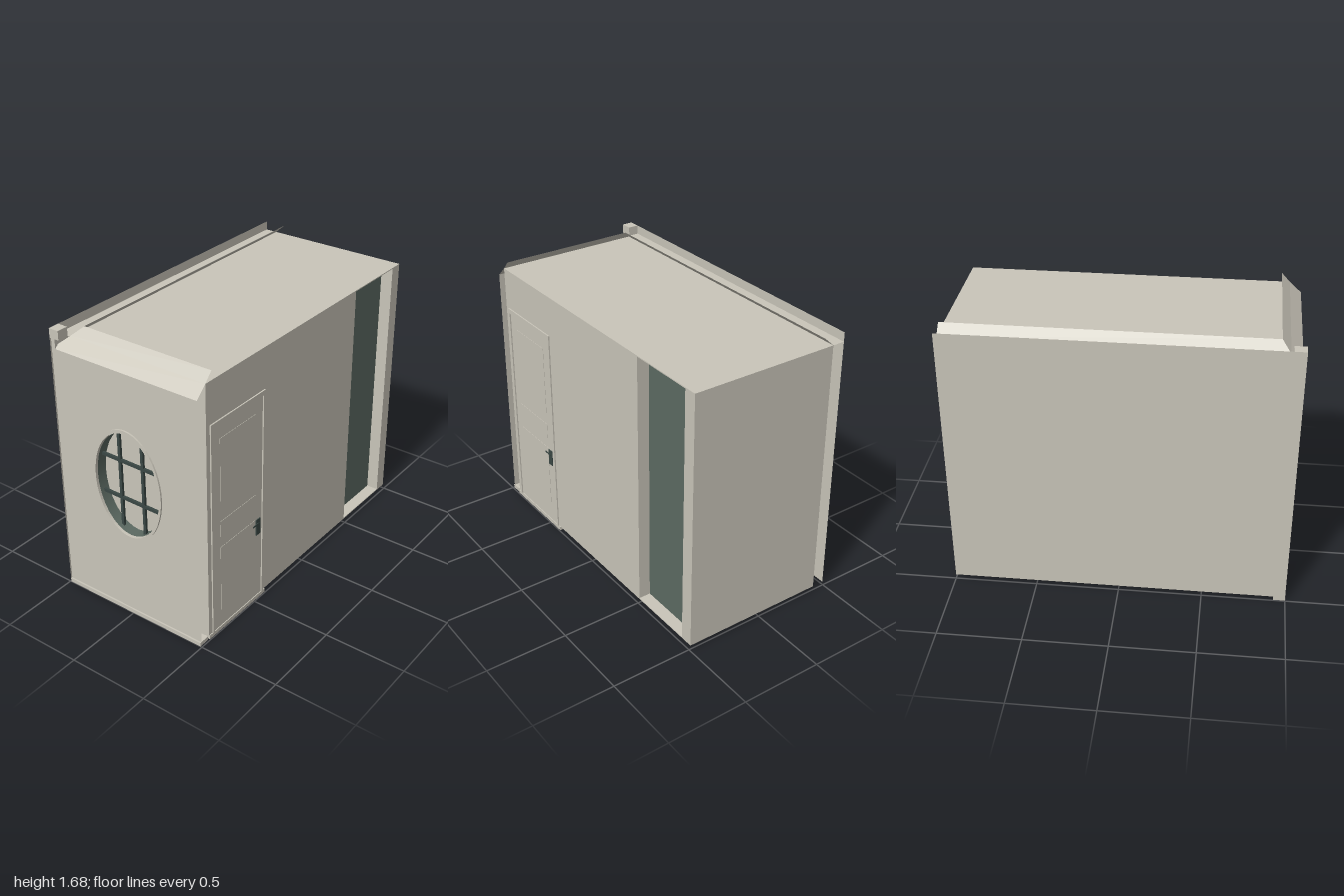
import * as THREE from 'three';

export function createModel() {
  const root = new THREE.Group();
  const mat = (name, color) => {
    const m = new THREE.MeshStandardMaterial({ color, side: THREE.DoubleSide });
    m.name = name;
    return m;
  };
  const plaster = mat('plaster', 0xc9c5b9);
  const green = mat('greyGreen', 0x5c6a62);
  const iron = mat('darkIron', 0x3a4744);

  const add = (name, geo, m = plaster, parent = root) => {
    const mesh = new THREE.Mesh(geo, m);
    mesh.name = name;
    parent.add(mesh);
    return mesh;
  };
  // Box given by its minimum and maximum corners
  const box = (name, x0, x1, y0, y1, z0, z1, m, parent) => add(name,
    new THREE.BoxGeometry(x1 - x0, y1 - y0, z1 - z0)
      .translate((x0 + x1) / 2, (y0 + y1) / 2, (z0 + z1) / 2), m, parent);
  // Flat four-cornered sheet
  const sheet = (name, corners) => {
    const g = new THREE.BufferGeometry();
    g.setAttribute('position', new THREE.Float32BufferAttribute(corners.flat(), 3));
    g.setIndex([0, 1, 2, 0, 2, 3]);
    g.computeVertexNormals();
    return add(name, g);
  };

  const FLOOR = 0.025, CEIL = 1.625, FRONT = 0.49, BACK = -0.495;

  // Room body; the front wall leaves a tall niche with a green back panel
  box('roomBody', -0.92, 1, FLOOR, CEIL, -0.42, 0.41);
  box('frontWall', -0.92, 0.5, FLOOR, CEIL, 0.41, FRONT);
  box('frontPost', 0.92, 1, FLOOR, CEIL, 0.41, FRONT);
  box('nicheFloor', 0.5, 0.92, FLOOR, FLOOR + 0.006, 0.41, FRONT);
  box('nicheCeiling', 0.5, 0.92, CEIL - 0.006, CEIL, 0.41, FRONT);
  box('nichePanel', 0.5, 0.92, FLOOR + 0.006, CEIL - 0.006, 0.41, 0.416, green);

  // Outer back wall and its raised corner end
  sheet('backWall', [[1, FLOOR, BACK], [-1, FLOOR, BACK], [-1, 1.68, BACK], [1, 1.68, BACK]]);
  sheet('backLedge', [[-0.93, CEIL, -0.42], [1, CEIL, -0.42], [1, CEIL, BACK], [-0.93, CEIL, BACK]]);
  box('cornerCap', -1, -0.93, CEIL, 1.68, BACK, -0.43);
  box('cornerPost', -0.99, -0.97, FLOOR, CEIL, BACK, -0.47);

  // Sloping cornice strips, mitred at the corner
  sheet('backCornice', [[1, CEIL, -0.42], [-0.92, CEIL, -0.42], [-0.87, 1.68, -0.36], [1, 1.68, -0.36]]);
  sheet('sideCornice', [[-0.92, CEIL, -0.42], [-0.92, CEIL, FRONT], [-0.87, 1.68, FRONT], [-0.87, 1.68, -0.36]]);
  sheet('sideCorniceSkirt', [[-0.99, 1.56, BACK], [-0.99, 1.56, FRONT], [-0.92, CEIL, FRONT], [-0.92, CEIL, -0.42]]);

  // Outer side wall with an oval opening
  const CY = 0.87, RY = 0.35, RZ = 0.24;
  const wall = new THREE.Shape([[BACK, FLOOR], [FRONT, FLOOR], [FRONT, 1.56], [BACK, 1.56]]
    .map(([x, y]) => new THREE.Vector2(x, y)));
  const oval = (Ctor, k) => new Ctor().absellipse(0, CY, RZ * k, RY * k, 0, Math.PI * 2, true);
  wall.holes.push(oval(THREE.Path, 0.96));
  add('sideWall', new THREE.ShapeGeometry(wall, 24).rotateY(-Math.PI / 2).translate(-0.99, 0, 0));

  // Oval window: rim, casing, green lining and glazing bars
  const win = new THREE.Group();
  win.name = 'ovalWindow';
  root.add(win);
  const rim = oval(THREE.Shape, 1);
  rim.holes.push(oval(THREE.Path, 0.94));
  add('windowRim', new THREE.ExtrudeGeometry(rim, { depth: 0.01, bevelEnabled: false, curveSegments: 24 })
    .rotateY(-Math.PI / 2).translate(-0.99, 0, 0), plaster, win);
  const tube = (name, k, x0, x1, m) => add(name,
    new THREE.CylinderGeometry(1, 1, x1 - x0, 32, 1, true).rotateZ(Math.PI / 2)
      .scale(1, RY * k, RZ * k).translate((x0 + x1) / 2, CY, 0), m, win);
  tube('windowCasing', 1, -0.99, -0.92, plaster);
  tube('windowLining', 0.93, -0.985, -0.92, green);
  for (const s of [-1, 1]) {
    const hz = RZ * 0.93 * Math.sqrt(1 - (0.12 / RY) ** 2);
    const hy = RY * 0.93 * Math.sqrt(1 - (0.08 / RZ) ** 2);
    box('horizontalBar', -0.96, -0.945, CY + s * 0.12 - 0.009, CY + s * 0.12 + 0.009, -hz, hz, iron, win);
    box('verticalBar', -0.96, -0.945, CY - hy, CY + hy, s * 0.08 - 0.009, s * 0.08 + 0.009, iron, win);
  }

  // Base rail under the side wall, sill under the door
  box('sideBaseRail', -1, -0.93, 0, FLOOR, BACK, FRONT);
  box('doorSill', -0.92, -0.39, 0, FLOOR, 0.42, 0.495);

  // Door: raised frame, leaf and three thin panels
  const door = new THREE.Group();
  door.name = 'door';
  root.add(door);
  for (const [a, b] of [[-0.89, -0.875], [-0.425, -0.41]])
    box('doorJamb', a, b, FLOOR, 1.375, FRONT, 0.498, plaster, door);
  box('doorHead', -0.875, -0.425, 1.345, 1.375, FRONT, 0.498, plaster, door);
  box('doorLeaf', -0.87, -0.43, FLOOR + 0.01, 1.34, FRONT, 0.492, plaster, door);
  for (const [y0, y1] of [[0.14, 0.57], [0.64, 0.74], [0.81, 1.26]])
    box('doorPanel', -0.81, -0.49, y0, y1, 0.492, 0.494, plaster, door);

  // Handle with back plate
  box('handlePlate', -0.483, -0.443, 0.46, 0.565, 0.492, 0.497, iron, door);
  box('handleLever', -0.515, -0.455, 0.53, 0.54, 0.497, 0.5, iron, door);

  return root;
}
